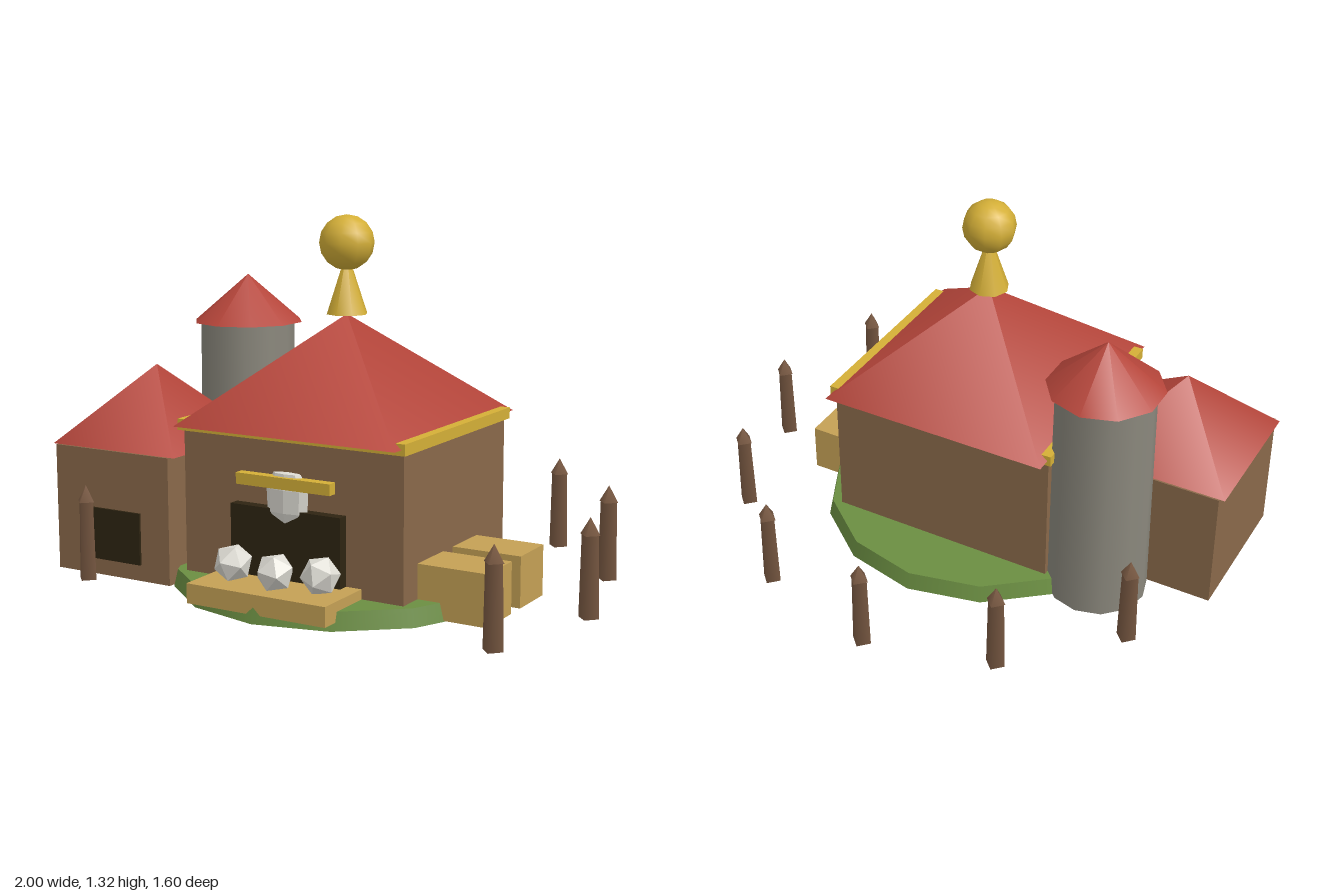
import * as THREE from 'three';

const mat = (name, color) => {
  const m = new THREE.MeshStandardMaterial({ color });
  m.name = name;
  return m;
};

export function createModel() {
  const group = new THREE.Group();
  const wall = mat('wall brown', 0x8a694a);
  const roof = mat('roof red', 0xb5453a);
  const grass = mat('grass green', 0x6b8e42);
  const gold = mat('gold', 0xd4af37);
  const tan = mat('crate tan', 0xc4a055);
  const stone = mat('tower stone', 0x8a877c);
  const post = mat('post brown', 0x755640);
  const dark = mat('dark opening', 0x2e2412);
  const pale = mat('pale rock', 0xdedcd4);

  const add = (name, geometry, material, x = 0, y = 0, z = 0) => {
    const mesh = new THREE.Mesh(geometry, material);
    mesh.name = name;
    mesh.position.set(x, y, z);
    group.add(mesh);
    return mesh;
  };
  // Box given by its limits on each axis
  const box = (name, material, [x0, x1], [y0, y1], [z0, z1]) =>
    add(name, new THREE.BoxGeometry(x1 - x0, y1 - y0, z1 - z0), material,
      (x0 + x1) / 2, (y0 + y1) / 2, (z0 + z1) / 2);
  // Upright cylinder or cone between two heights
  const round = (name, material, rTop, rBottom, sides, y0, y1, x, z) =>
    add(name, new THREE.CylinderGeometry(rTop, rBottom, y1 - y0, sides), material, x, (y0 + y1) / 2, z);
  // Square pyramid with its sides along the axes
  const pyramid = (name, half, y0, y1, x, z) => {
    const g = new THREE.ConeGeometry(half * Math.SQRT2, y1 - y0, 4).rotateY(Math.PI / 4);
    return add(name, g, roof, x, (y0 + y1) / 2, z);
  };

  const cx = 0.02, cz = 0.173;

  // Grass mound
  round('mound', grass, 0.61, 0.625, 14, 0.007, 0.07, cx, cz);

  // Main hall
  box('hallWalls', wall, [-0.42, 0.46], [0.01, 0.6], [-0.2, 0.55]);
  box('hallTrim', gold, [-0.435, 0.475], [0.58, 0.62], [-0.215, 0.57]);
  pyramid('hallRoof', 0.442, 0.6, 0.975, cx, cz);
  box('hallDoorway', dark, [-0.2, 0.24], [0.07, 0.35], [0.54, 0.59]);

  // Finial above the hall
  round('finialCone', gold, 0, 0.074, 8, 0.975, 1.2, cx, cz);
  add('finialBall', new THREE.SphereGeometry(0.098, 10, 8), gold, cx, 1.227, cz);

  // Sign bar with a faceted ornament
  box('signBar', gold, [-0.165, 0.21], [0.425, 0.465], [0.57, 0.607]);
  const profile = [[0, -0.105], [0.024, -0.1], [0.08, -0.03], [0.084, 0.05], [0.055, 0.105], [0, 0.11]]
    .map(([r, y]) => new THREE.Vector2(r, y));
  const gemGeometry = new THREE.LatheGeometry(profile, 8).scale(1, 1, 0.33).toNonIndexed();
  gemGeometry.computeVertexNormals();
  add('signOrnament', gemGeometry, pale, cx + 0.002, 0.37, 0.573);

  // Counter with rocks
  box('counter', tan, [-0.25, 0.3], [0.035, 0.105], [0.54, 0.785]);
  [[-0.137, 0.67], [0.053, 0.7], [0.206, 0.66]].forEach(([x, z], i) => {
    const rock = add('rock', new THREE.IcosahedronGeometry(0.069), pale, x, 0.165, z);
    rock.rotation.set(0.35 + i * 0.4, i * 0.9, 0.2);
  });

  // Annex
  box('annexWalls', wall, [-0.98, -0.475], [0.01, 0.475], [0.018, 0.58]);
  pyramid('annexRoof', 0.273, 0.475, 0.755, -0.727, 0.298);
  box('annexWindow', dark, [-0.86, -0.6], [0.07, 0.26], [0.58, 0.589]);

  // Round tower
  round('towerWall', stone, 0.178, 0.187, 12, 0.01, 0.885, -0.573, -0.077);
  round('towerRoof', roof, 0, 0.21, 10, 0.885, 1.065, -0.57, -0.078);

  // Crates at the side
  for (const z of [0.015, 0.27])
    box('crate', tan, [0.45, 0.72], [0.01, 0.193], [z, z + 0.184]);

  // Ring of pointed posts, open at the front and at the annex
  for (const degrees of [-30, 0, 30, 60, 90, 120, 150, 210]) {
    const a = degrees * Math.PI / 180;
    const x = cx + 0.94 * Math.cos(a), z = cz - 0.94 * Math.sin(a);
    round('post', post, 0.031, 0.037, 4, 0.008, 0.297, x, z);
    round('postTip', post, 0, 0.036, 4, 0.295, 0.355, x, z);
  }

  return group;
}
